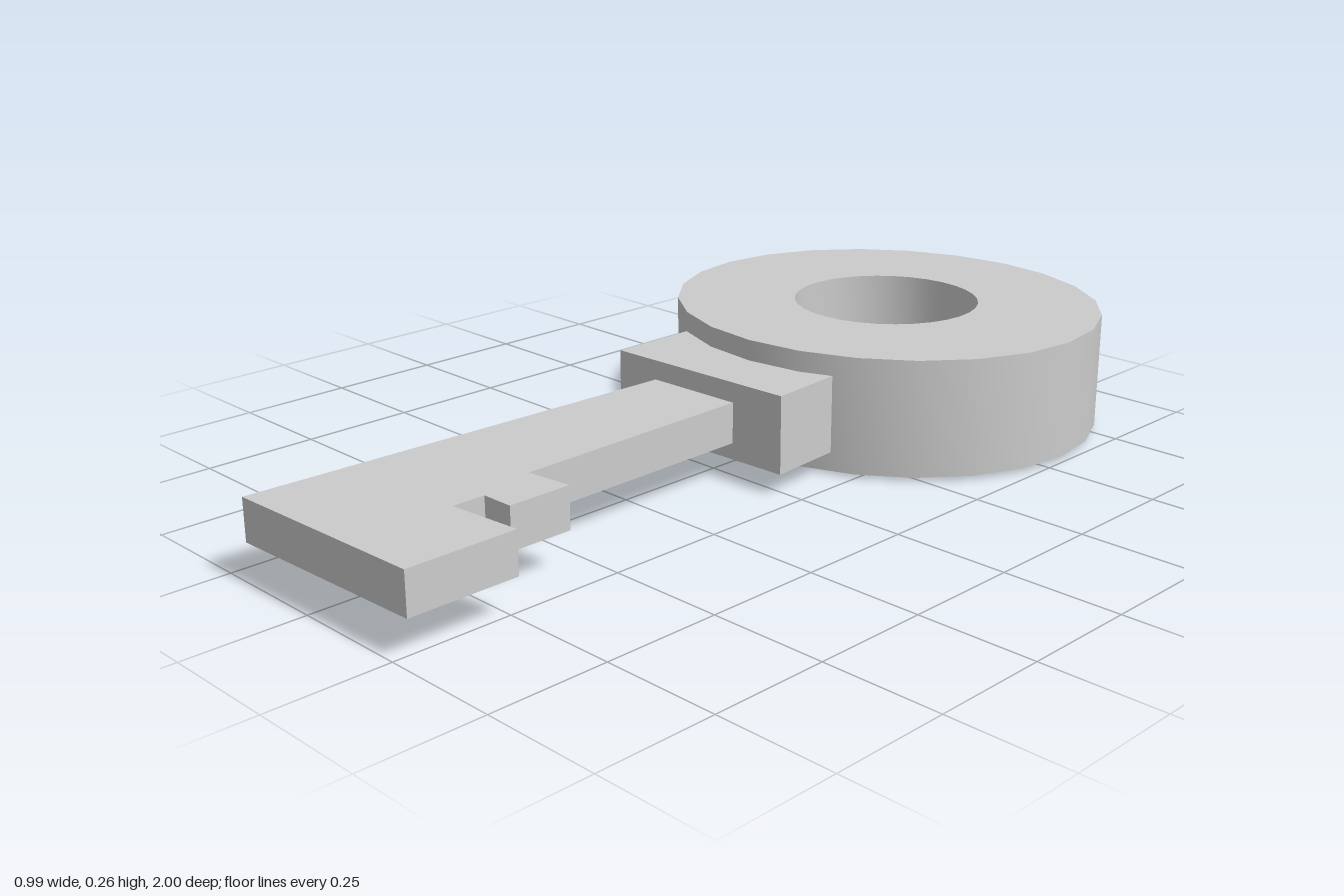
import * as THREE from 'three';
import { toCreasedNormals } from 'three/addons/utils/BufferGeometryUtils.js';

// Points of an ellipse in plan, as [x, z], counter-clockwise seen from above
function ellipse(cx, cz, rx, rz, sides) {
  return Array.from({ length: sides }, (_, i) => {
    const a = (i / sides) * Math.PI * 2;
    return [cx + rx * Math.cos(a), cz - rz * Math.sin(a)];
  });
}

// Upright slab from a plan outline of [x, z] points, between two heights;
// lean is how much y rises with x
function slab(name, outline, bottom, top, lean, hole) {
  const toPoints = (list) => list.map(([x, z]) => new THREE.Vector2(x, -z));
  const shape = new THREE.Shape(toPoints(outline));
  if (hole) shape.holes.push(new THREE.Path(toPoints(hole)));
  let geometry = new THREE.ExtrudeGeometry(shape, { depth: top - bottom, bevelEnabled: false });
  geometry.rotateX(-Math.PI / 2);
  geometry.translate(0, bottom, 0);
  const p = geometry.attributes.position;
  for (let i = 0; i < p.count; i++) p.setY(i, p.getY(i) + lean * p.getX(i));
  geometry = toCreasedNormals(geometry, Math.PI / 6);
  const mesh = new THREE.Mesh(geometry, new THREE.MeshStandardMaterial({ color: 0xcccccc }));
  mesh.name = name;
  return mesh;
}

export function createModel() {
  const key = new THREE.Group();
  key.name = 'key';

  // Thick round bow with its hole
  key.add(slab('bow',
    ellipse(-0.002, -0.554, 0.494, 0.446, 24), 0.0045, 0.258, 0.009,
    ellipse(-0.002, -0.555, 0.209, 0.203, 32)));

  // Collar, sunk into the bow
  key.add(slab('collar',
    [[-0.253, -0.2], [-0.253, 0.03], [0.209, 0.02], [0.191, -0.2]], 0.046, 0.213, 0.009));

  // Widening blade with its teeth, starting inside the collar
  key.add(slab('blade', [
    [-0.142, -0.05], [-0.185, 1], [0.279, 0.986], [0.279, 0.752],
    [0.118, 0.765], [0.118, 0.695], [0.188, 0.694], [0.188, 0.557],
    [0.087, 0.567], [0.077, -0.05],
  ], 0.082, 0.17, 0.006));

  return key;
}
